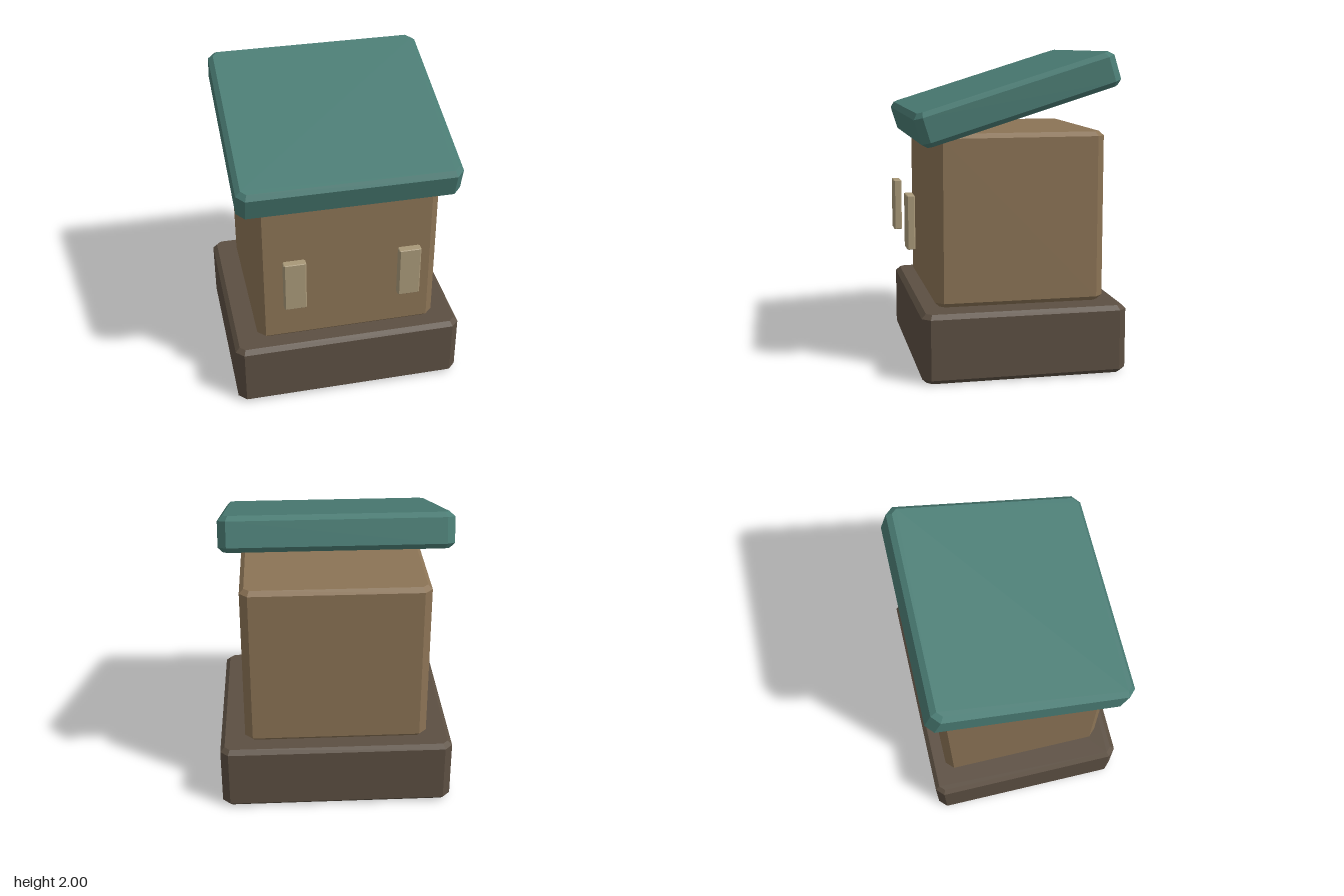
import * as THREE from 'three';

// Box with chamfered upright corners and a single bevel round the top and bottom
function chamferBox(w, h, d, chamfer, bevel) {
  const x = w / 2 - bevel, z = d / 2 - bevel;
  const c = chamfer - bevel * (2 - Math.SQRT2); // the bevel widens the corner cut
  const outline = new THREE.Shape([
    [x - c, -z], [x, -z + c], [x, z - c], [x - c, z],
    [-x + c, z], [-x, z - c], [-x, -z + c], [-x + c, -z],
  ].map(([px, pz]) => new THREE.Vector2(px, pz)));
  const geometry = new THREE.ExtrudeGeometry(outline, {
    depth: h - 2 * bevel,
    bevelEnabled: true, bevelSegments: 1, bevelSize: bevel, bevelThickness: bevel,
  });
  geometry.translate(0, 0, bevel - h / 2);
  return geometry.rotateX(-Math.PI / 2);
}

export function createModel() {
  const model = new THREE.Group();
  model.name = 'hut';

  function addPart(name, color, geometry, x, y, z) {
    const material = new THREE.MeshStandardMaterial({ color, flatShading: true });
    const mesh = new THREE.Mesh(geometry, material);
    mesh.name = name;
    mesh.position.set(x, y, z);
    model.add(mesh);
    return mesh;
  }

  // Plinth and walls
  addPart('base', 0x5c4f42, chamferBox(1.5, 0.433, 1.288, 0.05, 0.028), 0, 0.2165, -0.024);
  addPart('walls', 0x8b7355, chamferBox(1.18, 1.075, 1.075, 0.05, 0.028), 0, 0.971, -0.023);

  // Slab roof, sloping down to the front
  const roof = addPart('roof', 0x4a7c74, chamferBox(1.392, 0.215, 1.29, 0.05, 0.03), 0, 1.717, 0.007);
  roof.rotation.x = 0.3;

  // Pair of window panels standing off the front wall
  for (const [side, name] of [[1, 'leftWindow'], [-1, 'rightWindow']]) {
    addPart(name, 0xa89878, chamferBox(0.142, 0.34, 0.052, 0.008, 0.004), side * 0.365, 0.95, 0.643);
  }
  return model;
}
